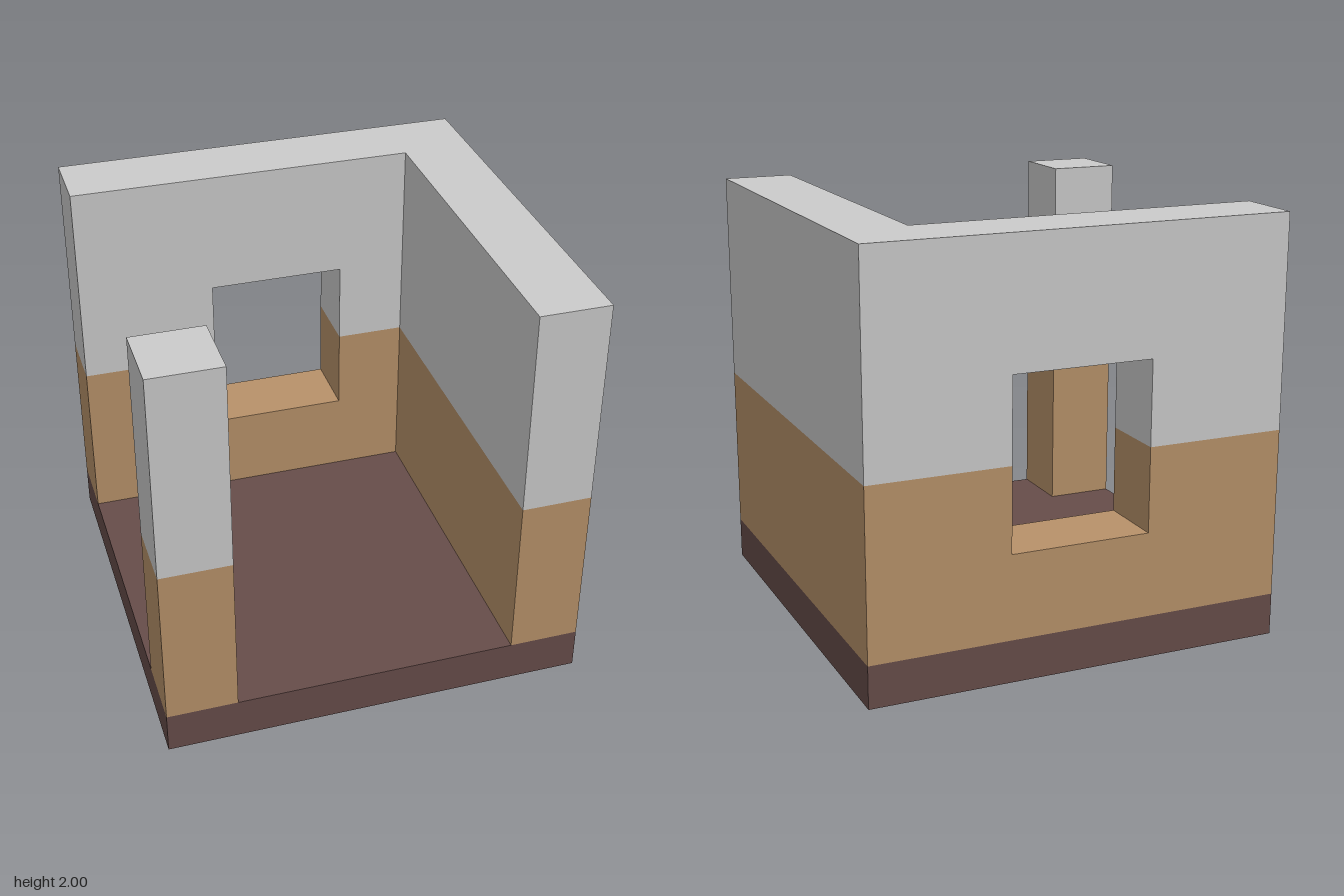
import * as THREE from 'three';

const T = 1 / 3;        // wall and post thickness
const FLOOR = 0.2, MID = 1, TOP = 2;
const WINDOW = { half: T, sill: 0.6, head: 1.4 };

const floorMat = new THREE.MeshStandardMaterial({ color: 0x674d4a });
const lowerMat = new THREE.MeshStandardMaterial({ color: 0xb8926a });
const upperMat = new THREE.MeshStandardMaterial({ color: 0xcccccc });

// Box given by its minimum and maximum corners
function block(name, min, max, material) {
  const size = max.map((v, i) => v - min[i]);
  const mesh = new THREE.Mesh(new THREE.BoxGeometry(...size), material);
  mesh.position.set(...min.map((v, i) => (v + max[i]) / 2));
  mesh.name = name;
  return mesh;
}

// Half of the back wall: a strip between y = outer and y = MID, notched by the window
function backWallBand(name, outer, notch, material) {
  const w = WINDOW.half;
  const shape = new THREE.Shape([
    [-1, outer], [1, outer], [1, MID], [w, MID],
    [w, notch], [-w, notch], [-w, MID], [-1, MID],
  ].map(([x, y]) => new THREE.Vector2(x, y)));
  const geometry = new THREE.ExtrudeGeometry(shape, { depth: T, bevelEnabled: false });
  const mesh = new THREE.Mesh(geometry, material);
  mesh.position.z = -1;
  mesh.name = name;
  return mesh;
}

export function createModel() {
  const model = new THREE.Group();
  model.name = 'cornerRoom';

  // Floor slab
  model.add(block('floor', [-1, 0, -1], [1, FLOOR, 1], floorMat));

  // Each band of colour: back wall with window, left side wall, corner post
  const bands = [
    { name: 'lower', y0: FLOOR, y1: MID, outer: FLOOR, notch: WINDOW.sill, mat: lowerMat },
    { name: 'upper', y0: MID, y1: TOP, outer: TOP, notch: WINDOW.head, mat: upperMat },
  ];
  for (const { name, y0, y1, outer, notch, mat } of bands) {
    model.add(
      backWallBand(`${name}BackWall`, outer, notch, mat),
      block(`${name}SideWall`, [1 - T, y0, -1 + T], [1, y1, 1], mat),
      block(`${name}CornerPost`, [-1, y0, 1 - T], [-1 + T, y1, 1], mat),
    );
  }
  return model;
}
